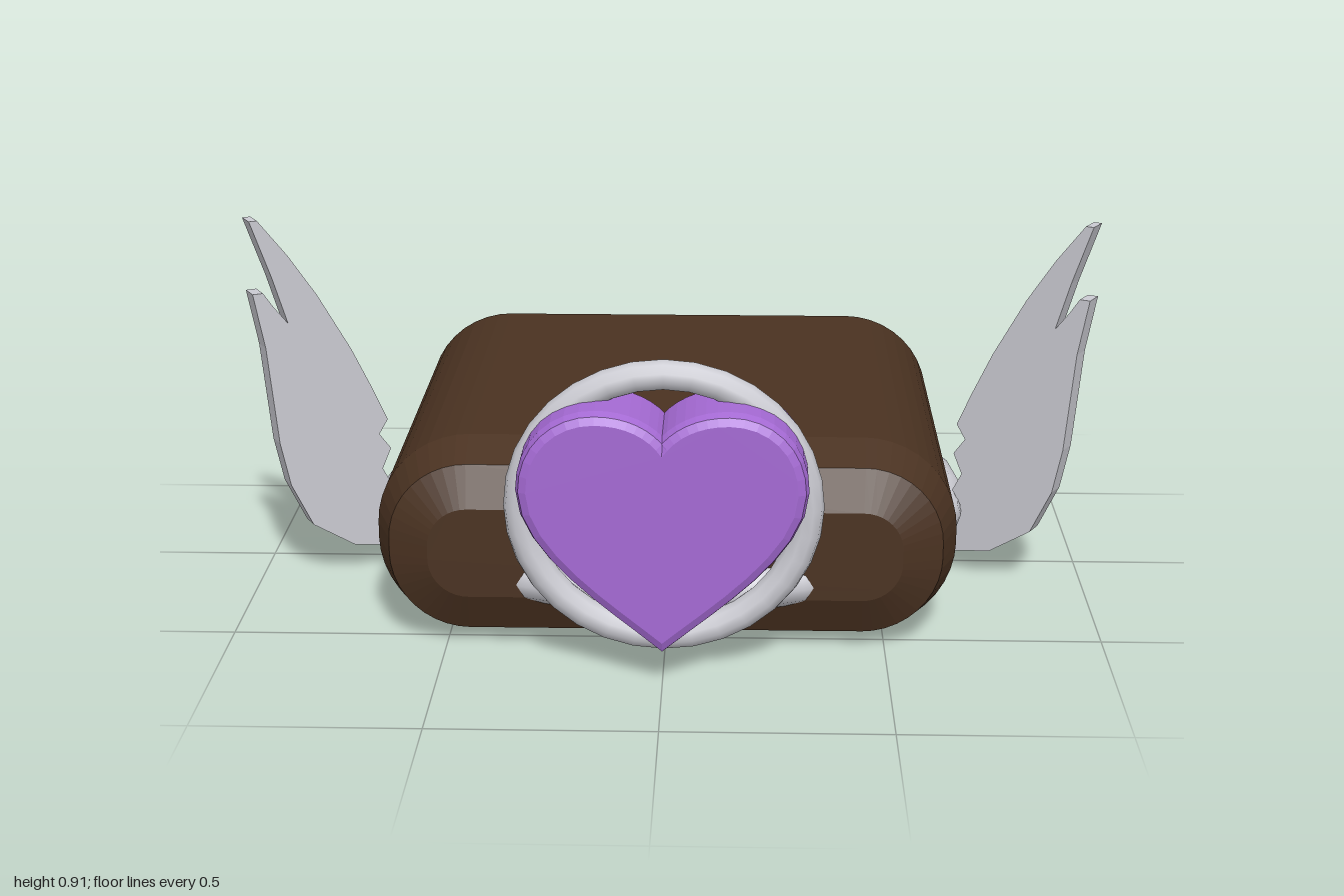
import * as THREE from 'three';

const brown = new THREE.MeshStandardMaterial({ name: 'dark brown', color: 0x4a3221 });
const silver = new THREE.MeshStandardMaterial({ name: 'silver', color: 0xcbcbd2 });
const purple = new THREE.MeshStandardMaterial({ name: 'purple', color: 0xa56ad4 });

function roundedRect(w, h, r) {
  const s = new THREE.Shape();
  s.absarc(w - r, h - r, r, 0, Math.PI / 2);
  s.absarc(-w + r, h - r, r, Math.PI / 2, Math.PI);
  s.absarc(-w + r, -h + r, r, Math.PI, Math.PI * 1.5);
  s.absarc(w - r, -h + r, r, Math.PI * 1.5, Math.PI * 2);
  return s;
}

function heartShape() {
  const s = new THREE.Shape();
  s.moveTo(0, 0.105);
  s.bezierCurveTo(0.1, 0.19, 0.293, 0.32, 0.293, 0.45);
  s.bezierCurveTo(0.293, 0.545, 0.225, 0.605, 0.145, 0.605);
  s.bezierCurveTo(0.08, 0.605, 0.03, 0.58, 0, 0.535);
  s.bezierCurveTo(-0.03, 0.58, -0.08, 0.605, -0.145, 0.605);
  s.bezierCurveTo(-0.225, 0.605, -0.293, 0.545, -0.293, 0.45);
  s.bezierCurveTo(-0.293, 0.32, -0.1, 0.19, 0, 0.105);
  return s;
}

// Feathered outline: x as seen from the front, and height
const wingOutline = [
  [0.695, 0.05], [0.79, 0.07], [0.88, 0.14], [0.925, 0.25], [0.945, 0.36], [0.955, 0.48],
  [0.965, 0.6], [0.987, 0.735], [0.965, 0.735], [0.945, 0.7], [0.915, 0.655], [0.945, 0.77], [0.987, 0.91],
  [0.97, 0.91], [0.91, 0.82], [0.85, 0.715], [0.78, 0.57], [0.735, 0.46], [0.705, 0.38],
  [0.725, 0.345], [0.7, 0.305], [0.72, 0.255], [0.7, 0.21], [0.72, 0.175],
];
const wingAngle = 0.51;
const wingDepth = 0.05;

function makeWing(side) {
  const pts = wingOutline.map(([x, y]) =>
    new THREE.Vector2(side * (x - 0.69) / Math.cos(wingAngle), y));
  const geo = new THREE.ExtrudeGeometry(new THREE.Shape(pts), { depth: wingDepth, bevelEnabled: false });
  geo.translate(0, 0, -wingDepth / 2);
  const wing = new THREE.Mesh(geo, silver);
  wing.name = side > 0 ? 'leftWing' : 'rightWing';
  wing.position.set(side * 0.69, 0, 0.035);
  wing.rotation.y = -side * wingAngle;
  return wing;
}

export function createModel() {
  const model = new THREE.Group();
  model.name = 'wingedHeartBox';
  const add = (name, geometry, material) => {
    const mesh = new THREE.Mesh(geometry, material);
    mesh.name = name;
    model.add(mesh);
    return mesh;
  };

  // Rounded slab body with two-step bevels at front and back
  const body = new THREE.ExtrudeGeometry(roundedRect(0.535, 0.105, 0.09), {
    depth: 1.015, bevelThickness: 0.145, bevelSize: 0.13, bevelSegments: 2, curveSegments: 5,
  });
  body.translate(0, 0.235, -0.575);
  add('body', body, brown);

  // Hoop showing through the middle of each side
  const hoop = new THREE.TorusGeometry(0.675, 0.05, 10, 28);
  hoop.rotateX(Math.PI / 2);
  add('sideHoop', hoop, silver).position.set(0, 0.16, -0.055);

  // Upright ring around the heart
  const ring = new THREE.TorusGeometry(0.318, 0.036, 10, 32);
  ring.scale(1, 0.953, 1);
  add('heartRing', ring, silver).position.set(0, 0.378, 0.652);

  // Heart emblem
  const heart = new THREE.ExtrudeGeometry(heartShape(), {
    depth: 0.165, bevelThickness: 0.03, bevelSize: 0.024, bevelSegments: 2, curveSegments: 8,
  });
  heart.translate(0, 0, 0.585);
  add('heart', heart, purple);

  // Wings
  for (const side of [1, -1]) model.add(makeWing(side));

  return model;
}
